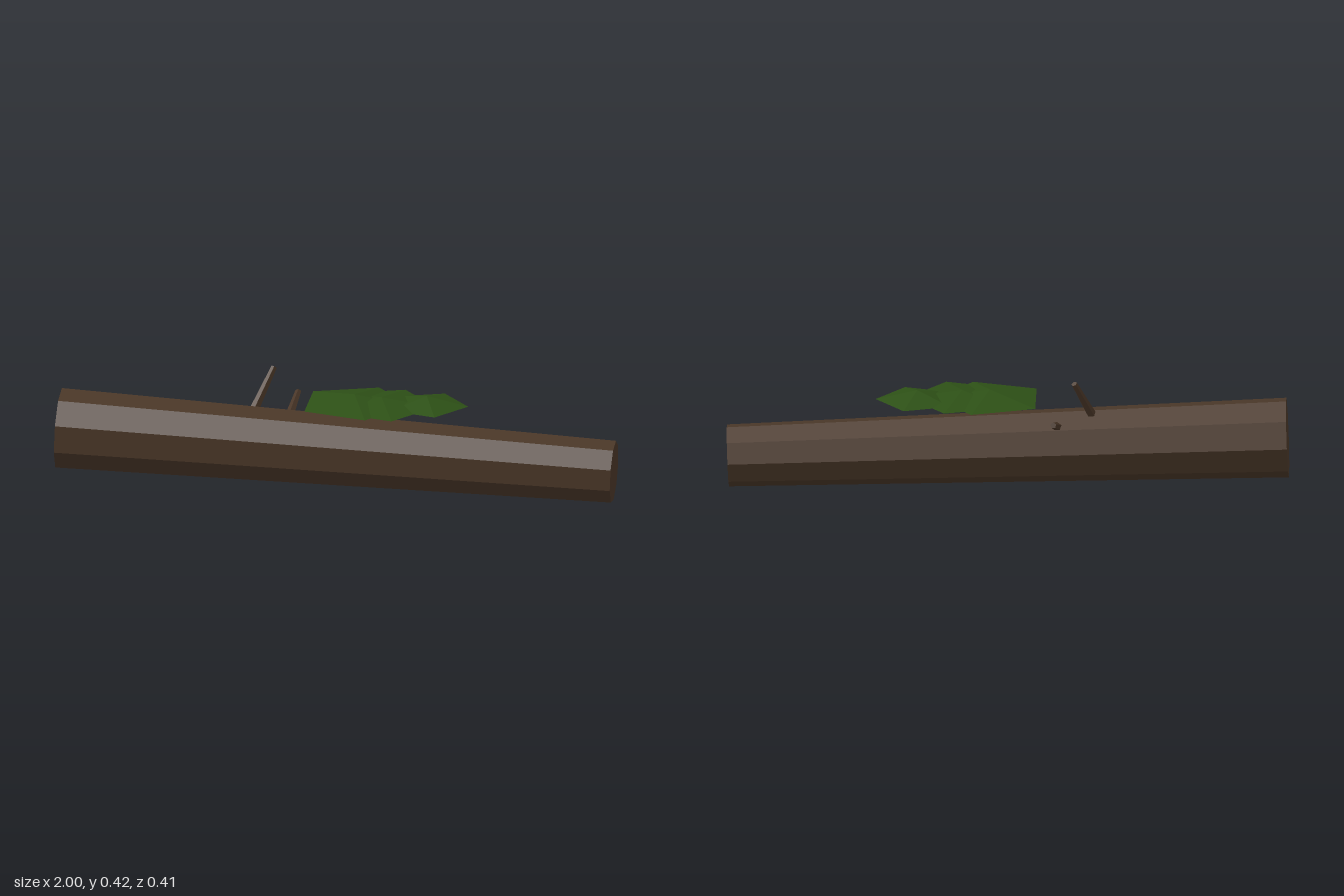
import * as THREE from 'three';

export function createModel() {
  const model = new THREE.Group();
  model.name = 'fallenLog';

  const bark = new THREE.MeshStandardMaterial({ color: 0x4a3728, flatShading: true });
  bark.name = 'bark';
  const foliage = new THREE.MeshStandardMaterial({ color: 0x2d5016, flatShading: true });
  foliage.name = 'foliage';

  const add = (name, geometry, material) => {
    const mesh = new THREE.Mesh(geometry, material);
    mesh.name = name;
    model.add(mesh);
    return mesh;
  };

  // Tapered, faceted wood running from one point to another
  const limb = (name, from, to, r0, r1, sides, start = 0) => {
    const a = new THREE.Vector3(...from);
    const b = new THREE.Vector3(...to);
    const dir = b.clone().sub(a);
    const geometry = new THREE.CylinderGeometry(r1, r0, dir.length(), sides, 1, false, start);
    const mesh = add(name, geometry, bark);
    mesh.position.copy(a).add(b).multiplyScalar(0.5);
    mesh.quaternion.setFromUnitVectors(new THREE.Vector3(0, 1, 0), dir.normalize());
  };

  // Trunk: nine sides, thicker and higher at the -x end
  limb('trunk', [-0.995, 0.192, 0.0095], [0.995, 0.113, 0.0085], 0.144, 0.112, 9, Math.PI);

  // Broken branch stubs
  limb('uprightBranch', [-0.298, 0.285, -0.026], [-0.238, 0.42, -0.095], 0.017, 0.011, 5);
  limb('backBranch', [-0.178, 0.252, -0.07], [-0.166, 0.298, -0.201], 0.016, 0.011, 5);

  // Overlapping five-sided moss mounds, each with a corner towards +x
  const mounds = [
    [0.064, 0.01, 0.203, 0.034],
    [0.162, 0.016, 0.196, 0.029],
    [0.322, -0.004, 0.148, 0.034],
  ];
  mounds.forEach(([x, z, radius, height], i) => {
    const cone = new THREE.ConeGeometry(radius, height, 5, 1, false, Math.PI / 2);
    add(`mossMound${i + 1}`, cone, foliage).position.set(x, 0.33 + height / 2, z);
  });

  return model;
}
